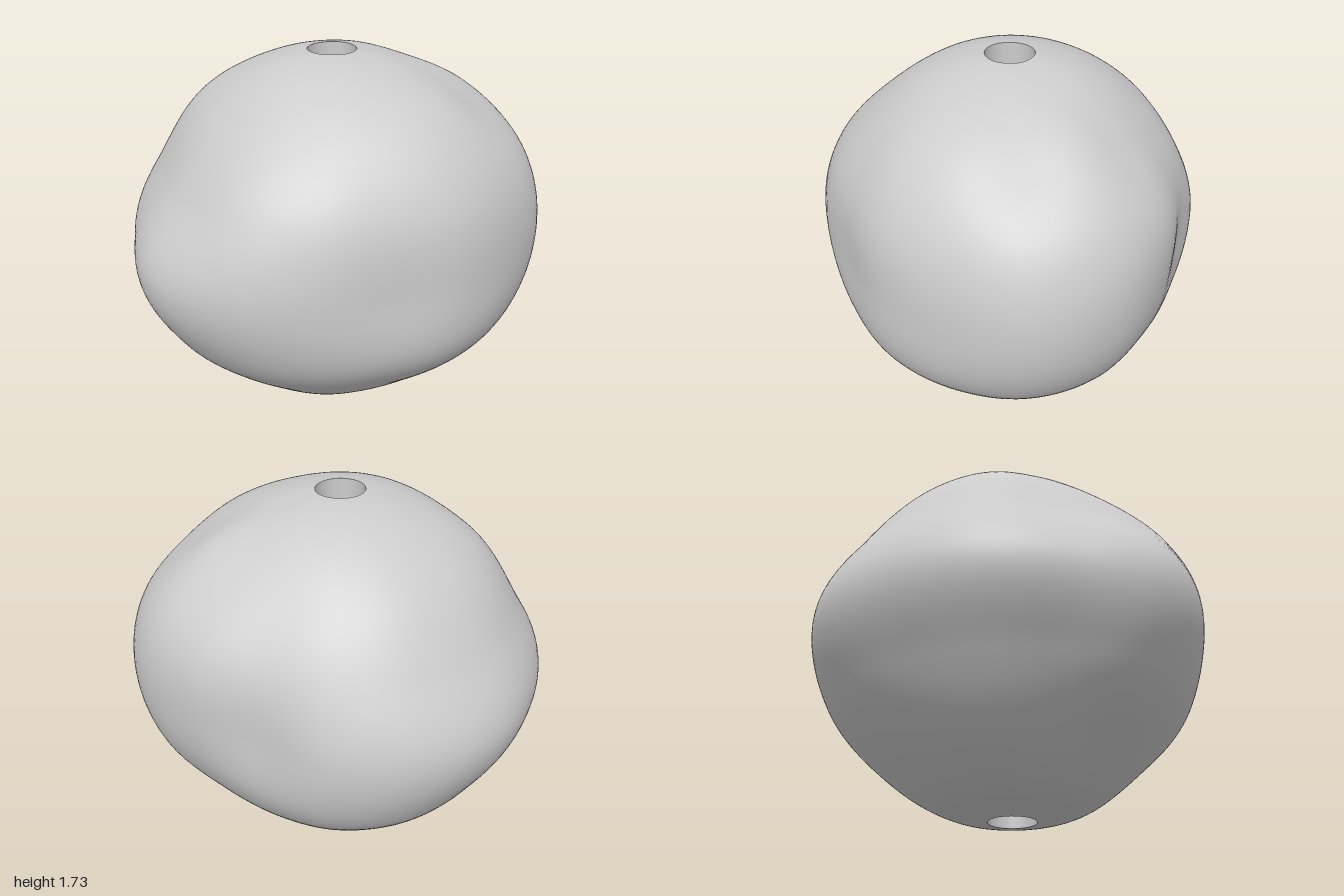
import * as THREE from 'three';

const SEG = 144, ROWS = 96, MID = 0.865, POLE = 0.872, HOLE = 0.115;

// Radius every 22.5 degrees around (from +x towards +z), at latitudes 45, 22.5, 0, -22.5, -45
const PROFILES = [
  [0.905, 0.985, 0.998, 0.975, 0.89],
  [0.915, 0.945, 0.94, 0.955, 0.89],
  [0.91, 0.92, 0.9, 0.935, 0.882],
  [0.888, 0.89, 0.865, 0.912, 0.872],
  [0.882, 0.918, 0.925, 0.932, 0.885],
  [0.885, 0.945, 1.005, 0.965, 0.89],
  [0.875, 0.915, 1.055, 0.978, 0.885],
  [0.88, 0.893, 0.995, 0.91, 0.88],
  [0.905, 0.917, 0.995, 0.91, 0.89],
  [0.9, 0.915, 0.995, 0.915, 0.89],
  [0.888, 0.912, 1.008, 0.94, 0.89],
  [0.882, 0.9, 0.975, 0.948, 0.892],
  [0.868, 0.878, 0.912, 0.922, 0.888],
  [0.86, 0.86, 0.83, 0.875, 0.875],
  [0.888, 0.93, 0.895, 0.885, 0.873],
  [0.932, 0.985, 0.975, 0.948, 0.885],
].map((p) => [POLE, 0.877, ...p, 0.884, POLE]);

// Smooth interpolation through four neighbouring values
function spline(a, b, c, d, t) {
  return b + 0.5 * t * (c - a + t * (2 * a - 5 * b + 4 * c - d + t * (3 * (b - c) + d - a)));
}

function profileRadius(profile, theta) {
  const n = profile.length - 1;
  const s = (theta / Math.PI) * n;
  const i = Math.min(Math.floor(s), n - 1);
  const at = (k) => profile[k < 0 ? -k : k > n ? 2 * n - k : k];
  return spline(at(i - 1), at(i), at(i + 1), at(i + 2), s - i);
}

function surfacePoint(theta, phi) {
  const count = PROFILES.length;
  const s = (phi / (2 * Math.PI)) * count;
  const i = Math.floor(s);
  const at = (k) => profileRadius(PROFILES[(k + count) % count], theta);
  const r = spline(at(i - 1), at(i), at(i + 1), at(i + 2), s - i);
  // The drilled hole sits slightly off the centre
  const shift = Math.cos(theta) ** 2;
  return new THREE.Vector3(
    r * Math.sin(theta) * Math.cos(phi) - 0.015 * shift,
    r * Math.cos(theta) + MID,
    r * Math.sin(theta) * Math.sin(phi) + 0.012 * shift);
}

// Skin a stack of closed rings
function loft(rings) {
  const index = [];
  for (let j = 0; j < rings.length - 1; j++) {
    for (let i = 0; i < SEG; i++) {
      const a = j * SEG + i, b = j * SEG + ((i + 1) % SEG);
      index.push(a, b, a + SEG, b, b + SEG, a + SEG);
    }
  }
  const geometry = new THREE.BufferGeometry().setFromPoints(rings.flat());
  geometry.setIndex(index);
  geometry.computeVertexNormals();
  return geometry;
}

export function createModel() {
  const stone = new THREE.MeshStandardMaterial({ color: 0xcccccc });
  stone.name = 'pale grey stone';

  const start = Math.asin(HOLE / POLE);
  const rings = [];
  for (let j = 0; j <= ROWS; j++) {
    const theta = start + (j / ROWS) * (Math.PI - 2 * start);
    rings.push(Array.from({ length: SEG }, (_, i) => surfacePoint(theta, (i / SEG) * 2 * Math.PI)));
  }

  // Lumpy outside
  const body = new THREE.Mesh(loft(rings), stone);
  body.name = 'beadBody';
  // Wall of the hole, running from the bottom rim to the top rim
  const bore = new THREE.Mesh(loft([rings[ROWS], rings[0]]), stone);
  bore.name = 'beadHole';

  const bead = new THREE.Group();
  bead.name = 'bead';
  bead.add(body, bore);
  return bead;
}
